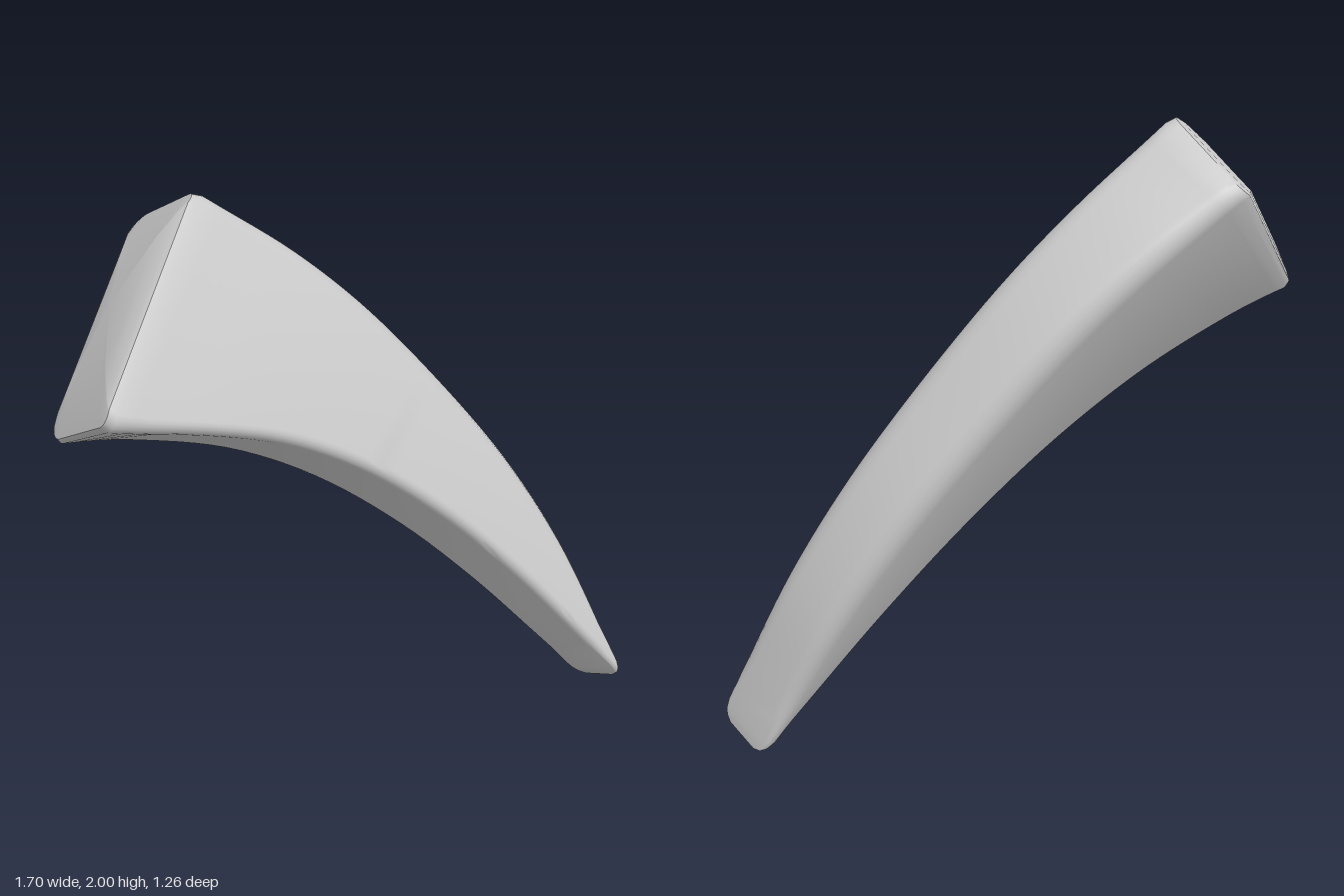
import * as THREE from 'three';
import { toCreasedNormals } from 'three/addons/utils/BufferGeometryUtils.js';

const NORMAL = new THREE.Vector3(-0.093, 0.4, 0.911).normalize(); // front side of the claw
const CAP_OUT = new THREE.Vector3(-0.6, 0.7, -0.38).normalize(); // direction the root faces

// The front face follows a tilted plane, so its rails need only x and y.
const rail = (pts) => new THREE.CatmullRomCurve3(pts.map(([x, y]) =>
  new THREE.Vector3(x, y, -0.305 + 0.102 * (x + 0.27) - 0.439 * (y - 2))));

const outerRail = rail([[-0.25, 1.985], [0, 1.77], [0.2, 1.547], [0.4, 1.255], [0.587, 0.925], [0.715, 0.6], [0.79, 0.28], [0.83, 0.05]]);
const innerRail = rail([[-0.855, 1.475], [-0.6, 1.39], [-0.3, 1.26], [-0.02, 1.07], [0.24, 0.82], [0.47, 0.54], [0.66, 0.275], [0.82, 0.05]]);

// Rounded rectangle, half sizes a (across) and b (through), counter-clockwise,
// with separate softness for the outer and inner edges
function roundedSection(a, b, outerSoft, innerSoft) {
  const pts = [];
  [[1, 1], [-1, 1], [-1, -1], [1, -1]].forEach(([sx, sy], q) => {
    const r = Math.min((sx > 0 ? outerSoft : innerSoft) * b, 0.8 * a);
    for (let k = 0; k <= 5; k++) {
      const t = (q + k / 5) * Math.PI / 2;
      pts.push([sx * (a - r) + r * Math.cos(t), sy * (b - r) + r * Math.sin(t)]);
    }
  });
  return pts;
}

// One ring of the claw at t (0 root, 1 tip), scaled by s and moved outward by lift
function ring(t, s = 1, lift = 0, thin = 1) {
  const o = outerRail.getPoint(t), i = innerRail.getPoint(t);
  const across = o.clone().sub(i);
  const a = across.length() / 2;
  across.normalize();
  const swell = Math.sin(Math.PI * t);
  const thick = THREE.MathUtils.lerp(0.365, 0.22, t) + 0.012 * swell;
  const b = thick / 2 * thin;
  const centre = o.add(i).multiplyScalar(0.5).addScaledVector(NORMAL, -thick / 2 + 0.05 * swell);
  // The root end bows outward and leans slightly to the front
  const rootness = Math.max(0, 1 - t / 0.12) ** 2;
  return roundedSection(a, b, 0.3 + 0.25 * swell, 0.25).map(([u, w]) => {
    const bow = rootness * (0.06 * (1 - (u * s / a) ** 2) + 0.025 * w * s / b);
    return centre.clone().addScaledVector(across, u * s)
      .addScaledVector(NORMAL, w * s).addScaledVector(CAP_OUT, lift + bow);
  });
}

export function createModel() {
  // Domed root, curved body, softened tip
  const rings = [ring(0, 0, 0.008), ring(0, 0.6, 0.008), ring(0, 0.88, 0.007), ring(0, 0.97, 0.003)];
  const steps = 40;
  for (let k = 0; k < steps; k++) rings.push(ring(0.01 + 0.955 * k / (steps - 1)));
  rings.push(ring(0.982, 1, 0, 0.94), ring(0.993, 1, 0, 0.82), ring(1, 1, 0, 0.6), ring(1, 0));

  const n = rings[0].length, index = [];
  for (let i = 0; i < rings.length - 1; i++) {
    for (let j = 0; j < n; j++) {
      const a = i * n + j, b = i * n + (j + 1) % n;
      if (i > 0) index.push(a, b, b + n);
      if (i < rings.length - 2) index.push(a, b + n, a + n);
      else index.push(a, b, a + n);
    }
  }
  let geometry = new THREE.BufferGeometry().setFromPoints(rings.flat());
  geometry.setIndex(index);
  geometry = toCreasedNormals(geometry, 0.75);

  // Centre and stand on the ground
  geometry.computeBoundingBox();
  const c = geometry.boundingBox.getCenter(new THREE.Vector3());
  geometry.translate(-c.x, -geometry.boundingBox.min.y, -c.z);

  const claw = new THREE.Mesh(geometry, new THREE.MeshStandardMaterial({ color: 0xcccccc }));
  claw.name = 'claw';
  const group = new THREE.Group();
  group.name = 'curvedClaw';
  group.add(claw);
  return group;
}
